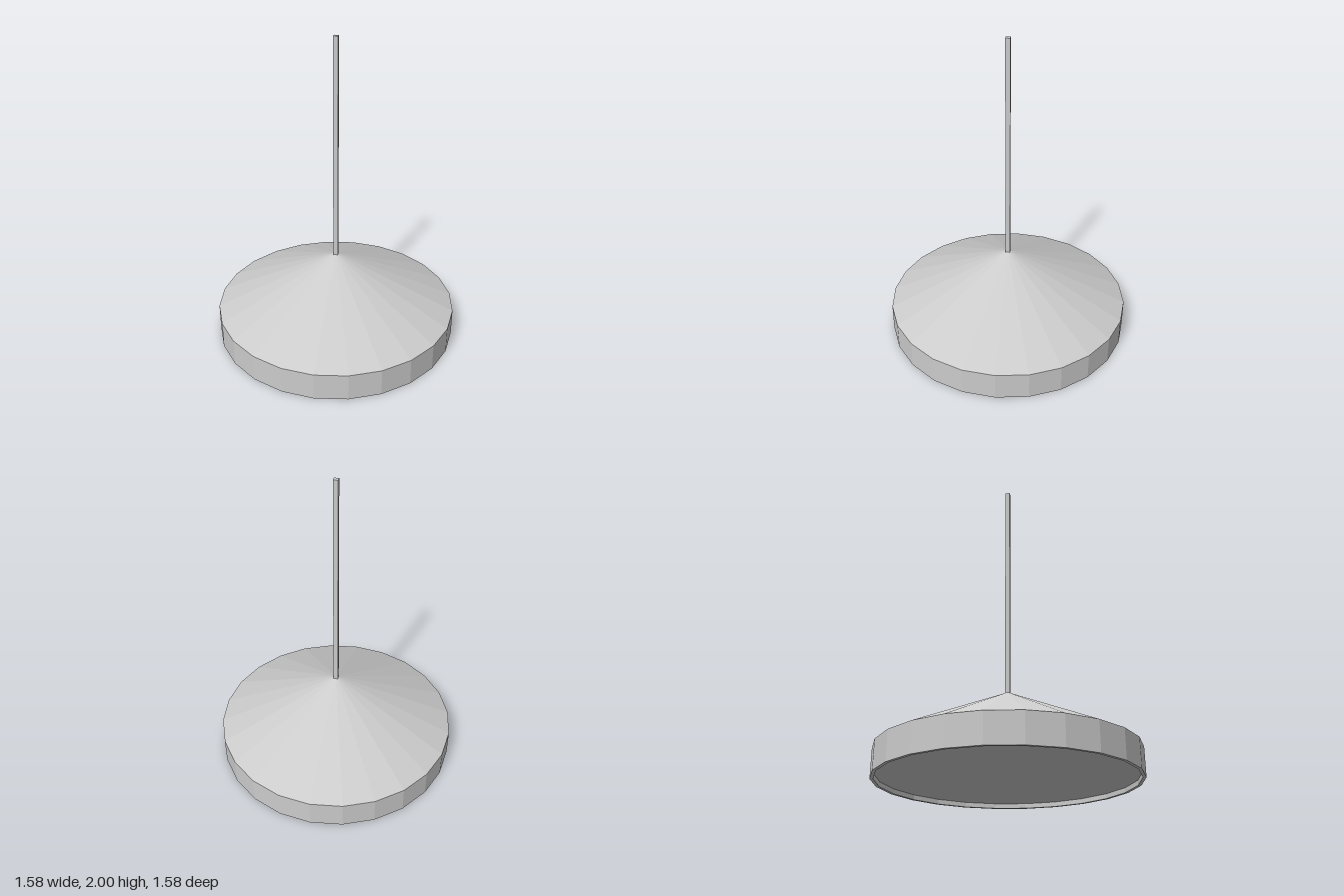
import * as THREE from 'three';

const SIDES = 24;

export function createModel() {
  const group = new THREE.Group();
  const material = new THREE.MeshStandardMaterial({ color: 0xcccccc, flatShading: true });
  const add = (name, geometry, y = 0) => {
    const mesh = new THREE.Mesh(geometry, material);
    mesh.name = name;
    mesh.position.y = y;
    group.add(mesh);
  };

  // Faceted shade: recessed underside, thin rim, upright band, cone
  const profile = [
    [0, 0.03], [0.77, 0.03], [0.77, 0], [0.79, 0], [0.79, 0.177], [0, 0.55],
  ].map(([r, y]) => new THREE.Vector2(r, y));
  add('shade', new THREE.LatheGeometry(profile, SIDES));

  // Square hanging rod, its foot sunk slightly into the cone tip
  const foot = 0.53, top = 2;
  add('rod', new THREE.BoxGeometry(0.03, top - foot, 0.03), (foot + top) / 2);

  return group;
}
